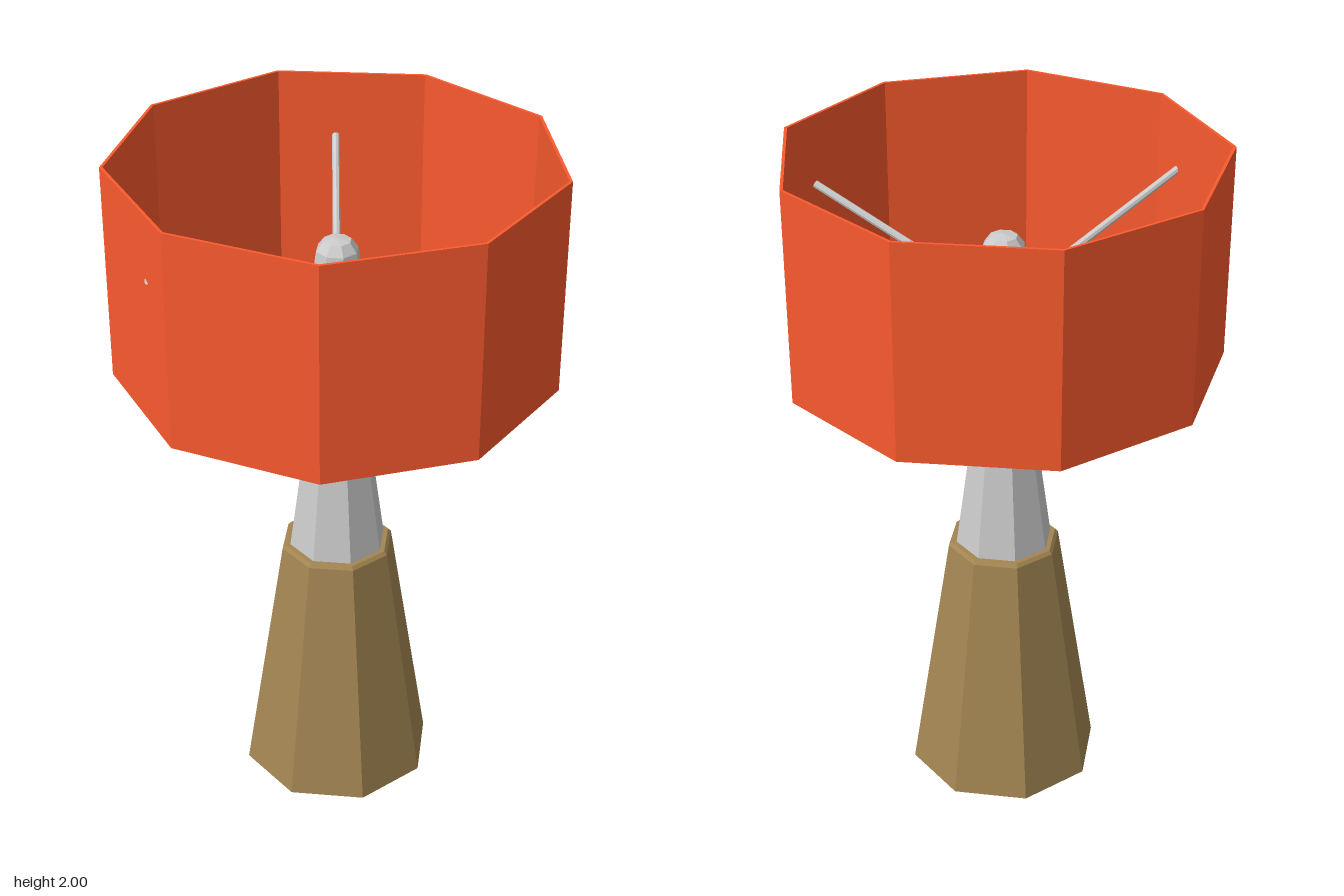
import * as THREE from 'three';

const mat = (color) => new THREE.MeshStandardMaterial({ color, flatShading: true });

export function createModel() {
  const model = new THREE.Group();
  model.name = 'tableLamp';
  const lamp = new THREE.Group();
  lamp.name = 'lamp';
  lamp.position.z = 0.0175; // odd-sided shade sits slightly off its bounding centre
  model.add(lamp);

  const wood = mat(0xa38552);
  const metal = mat(0xcccccc);
  const fabric = mat(0xfa5a2e);
  const glass = mat(0xf2f2f2);

  // Faceted turned part from a [radius, height] profile
  const turned = (name, profile, sides, material, start = 0) => {
    const points = profile.map(([r, y]) => new THREE.Vector2(r, y));
    const mesh = new THREE.Mesh(new THREE.LatheGeometry(points, sides, start), material);
    mesh.name = name;
    lamp.add(mesh);
  };

  // Straight round rod between two points
  const rod = (parent, name, a, b, radius) => {
    const dir = b.clone().sub(a);
    const mesh = new THREE.Mesh(new THREE.CylinderGeometry(radius, radius, dir.length(), 8), metal);
    mesh.name = name;
    mesh.position.copy(a).add(b).multiplyScalar(0.5);
    mesh.quaternion.setFromUnitVectors(new THREE.Vector3(0, 1, 0), dir.normalize());
    parent.add(mesh);
  };

  // Hollow tapered base with a chamfered lip and grey underside rim
  turned('base', [[0.287, 0], [0.167, 0.77], [0.158, 0.78], [0.142, 0.78], [0.253, 0]], 8, wood);
  turned('baseRim', [[0.253, 0], [0.287, 0]], 8, metal);

  // Tapered stem, collar and bulb
  turned('stem', [[0.146, 0.76], [0.036, 1.57], [0, 1.57]], 8, metal);
  turned('collar', [[0.03, 1.555], [0.05, 1.56], [0.05, 1.58], [0.03, 1.585]], 8, metal);
  turned('bulb', [[0.034, 1.565], [0.038, 1.61], [0.06, 1.65], [0.066, 1.69],
    [0.06, 1.73], [0.04, 1.757], [0, 1.763]], 8, glass);

  // Open nine-sided shade with a thin wall
  turned('shade', [[0.627, 1.375], [0.627, 2], [0.618, 2], [0.618, 1.375], [0.627, 1.375]],
    9, fabric, Math.PI);

  // Three sloping arms, each forked where it meets the collar
  [[74.5, 0.567], [-36.1, 0.572], [-160.3, 0.597]].forEach(([degrees, reach]) => {
    const arm = new THREE.Group();
    arm.name = 'shadeArm';
    arm.rotation.y = THREE.MathUtils.degToRad(degrees);
    const fork = new THREE.Vector3(0.095, 1.595, 0);
    rod(arm, 'armRod', fork, new THREE.Vector3(reach, 1.815, 0), 0.011);
    for (const side of [-1, 1]) {
      rod(arm, 'armProng', new THREE.Vector3(0.045, 1.57, side * 0.032), fork, 0.007);
    }
    lamp.add(arm);
  });

  return model;
}
